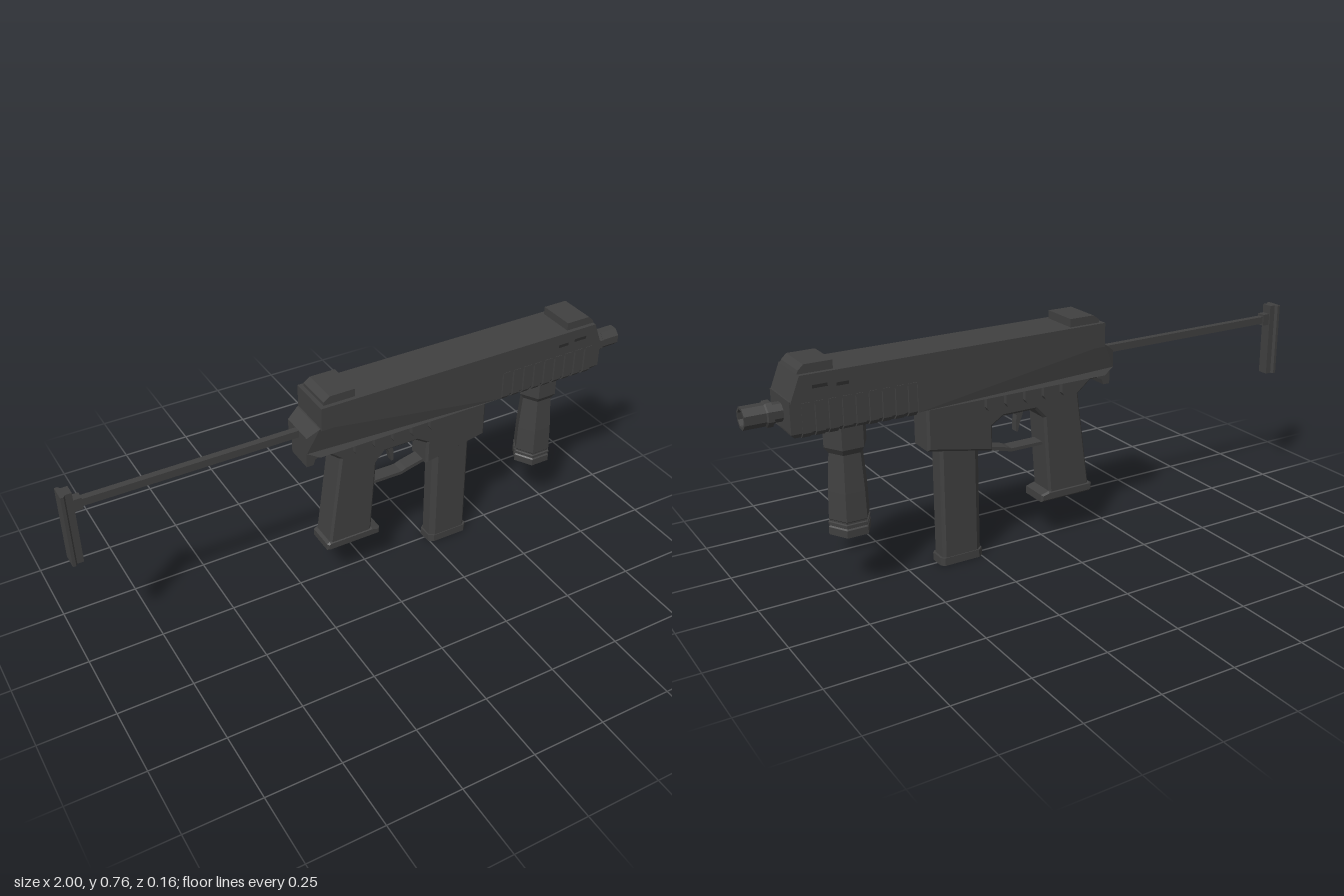
import * as THREE from 'three';

const metal = new THREE.MeshStandardMaterial({ color: 0x404040, flatShading: true });
metal.name = 'dark gunmetal';
const recess = new THREE.MeshStandardMaterial({ color: 0x2c2c2c, flatShading: true });
recess.name = 'slot shadow black';

function toShape(points) {
  return new THREE.Shape(points.map(([x, y]) => new THREE.Vector2(x, y)));
}

// Side profile in x/y, extruded symmetrically about z = 0, with optional chamfered edges
function slab(points, halfWidth, chamfer = 0) {
  const geo = new THREE.ExtrudeGeometry(toShape(points), {
    depth: 2 * (halfWidth - chamfer), steps: 1,
    bevelEnabled: chamfer > 0, bevelSegments: 1,
    bevelThickness: chamfer, bevelSize: chamfer, bevelOffset: -chamfer,
  });
  return geo.translate(0, 0, chamfer - halfWidth);
}

// Cross-section in z/y, extruded along x from x0 to x1
function beam(points, x0, x1) {
  const geo = new THREE.ExtrudeGeometry(toShape(points), { depth: x1 - x0, bevelEnabled: false });
  return geo.rotateY(Math.PI / 2).translate(x0, 0, 0);
}

function box(x0, x1, y0, y1, z0, z1) {
  return new THREE.BoxGeometry(x1 - x0, y1 - y0, z1 - z0)
    .translate((x0 + x1) / 2, (y0 + y1) / 2, (z0 + z1) / 2);
}

// Move the vertices that pass a test
function reshape(geo, rule) {
  const p = geo.attributes.position;
  const v = new THREE.Vector3();
  for (let i = 0; i < p.count; i++) {
    v.fromBufferAttribute(p, i);
    rule(v);
    p.setXYZ(i, v.x, v.y, v.z);
  }
  geo.computeVertexNormals();
  return geo;
}

function lathe(points, sides, phase) {
  return new THREE.LatheGeometry(points.map(([r, y]) => new THREE.Vector2(r, y)), sides, phase);
}

export function createModel() {
  const model = new THREE.Group();
  model.name = 'compactGun';
  const add = (name, geo, mat = metal) => {
    const mesh = new THREE.Mesh(geo, mat);
    mesh.name = name;
    model.add(mesh);
    return mesh;
  };

  // Upper cover with sloping nose
  add('upperCover', slab([[-0.195, 0.655], [0.88, 0.655], [0.848, 0.735], [-0.195, 0.735]], 0.079));

  // Main receiver, tapering at the tail
  add('receiver', reshape(
    slab([[-0.24, 0.575], [-0.2, 0.555], [0.48, 0.555], [0.48, 0.66], [-0.2, 0.66], [-0.24, 0.632]], 0.075),
    (v) => { if (v.x < -0.22) v.z *= 0.84; }));

  // Forend core with chamfered lower edges
  const forend = [[-0.07, 0.66], [-0.07, 0.56], [-0.058, 0.545], [0.058, 0.545], [0.07, 0.56], [0.07, 0.66]];
  add('forend', reshape(beam(forend, 0.465, 0.882), (v) => {
    if (v.y < 0.55) v.x += v.x > 0.7 ? -0.015 : 0.02;
  }));
  add('forendNose', box(0.845, 0.882, 0.565, 0.662, -0.076, 0.076));
  add('forendRail', box(0.465, 0.86, 0.645, 0.66, -0.075, 0.075));

  // Raised ribs wrapping the forend
  const rib = [[-0.077, 0.652], [-0.077, 0.56], [-0.064, 0.545], [0.064, 0.545], [0.077, 0.56], [0.077, 0.652]];
  for (let i = 0; i < 9; i++) {
    const x = 0.483 + i * 0.042;
    add('forendRib', beam(rib, x, x + 0.028));
  }

  // Sight blocks with a low base step
  const sights = [
    ['rearSight', [[-0.18, 0.735], [-0.07, 0.735], [-0.07, 0.762], [-0.158, 0.762], [-0.18, 0.746]]],
    ['frontSight', [[0.74, 0.735], [0.85, 0.735], [0.845, 0.746], [0.828, 0.762], [0.74, 0.762]]],
  ];
  for (const [name, profile] of sights) add(name, slab(profile, 0.065));

  // Lower frame: housing, grip and magazine well in one profile
  add('lowerFrame', slab([
    [-0.2, 0.57], [-0.2, 0.54], [-0.165, 0.54], [-0.115, 0.5], [-0.16, 0.165], [-0.002, 0.165],
    [0.018, 0.44], [0.05, 0.475], [0.17, 0.475], [0.21, 0.45], [0.21, 0.366], [0.44, 0.41], [0.44, 0.57],
  ], 0.05, 0.008));
  add('tailHook', slab([
    [-0.236, 0.58], [-0.236, 0.515], [-0.212, 0.515], [-0.205, 0.535], [-0.19, 0.54], [-0.19, 0.58],
  ], 0.05));

  // Grip foot
  add('gripFoot', slab([
    [-0.17, 0.148], [-0.16, 0.144], [0.03, 0.144], [0.03, 0.17], [0, 0.178], [-0.16, 0.178], [-0.17, 0.172],
  ], 0.053, 0.006));

  // Side tabs under the receiver, on both sides
  for (const side of [-1, 1]) {
    for (let i = 0; i < 5; i++) {
      const x = -0.055 + i * 0.07;
      const tab = slab([
        [x - 0.015, 0.57], [x - 0.015, 0.521], [x - 0.008, 0.51],
        [x + 0.008, 0.51], [x + 0.015, 0.521], [x + 0.015, 0.57],
      ], 0.01);
      add('sideTab', tab.translate(0, 0, side * 0.056));
    }
    // Narrow slots near the nose of the cover
    for (const [x0, x1, y] of [[0.7, 0.738, 0.692], [0.765, 0.812, 0.697]]) {
      add('coverSlot', box(x0, x1, y - 0.005, y + 0.005, side * 0.0785 - 0.002, side * 0.0785 + 0.002), recess);
    }
  }

  // Trigger and its guard
  add('trigger', slab([
    [0.072, 0.48], [0.078, 0.455], [0.088, 0.43], [0.096, 0.398],
    [0.104, 0.4], [0.103, 0.435], [0.1, 0.455], [0.108, 0.48],
  ], 0.012));
  add('triggerGuard', slab([
    [0.005, 0.339], [0.13, 0.339], [0.15, 0.345], [0.225, 0.364],
    [0.225, 0.376], [0.145, 0.357], [0.128, 0.35], [0.005, 0.35],
  ], 0.025));

  // Magazine with cut corners, and its floor plate
  const mag = [[0.25, 0.02], [0.268, 0.034], [0.38, 0.034], [0.39, 0.024]];
  const magOutline = [[0.25, -0.02], ...mag.slice(0, 1), ...mag.slice(1), [0.39, -0.024], [0.38, -0.034], [0.268, -0.034]];
  const magGeo = new THREE.ExtrudeGeometry(toShape(magOutline), { depth: 0.4, bevelEnabled: false });
  add('magazine', magGeo.rotateX(-Math.PI / 2).translate(0, 0.015, 0));
  const plateOutline = [
    [0.245, -0.024], [0.245, 0.024], [0.262, 0.037], [0.386, 0.037],
    [0.398, 0.026], [0.398, -0.026], [0.386, -0.037], [0.262, -0.037],
  ];
  const plateGeo = new THREE.ExtrudeGeometry(toShape(plateOutline), { depth: 0.027, bevelEnabled: false });
  add('magazinePlate', plateGeo.rotateX(-Math.PI / 2));

  // Six-sided fore grip with collar, waist and grooved foot
  add('foreGrip', lathe([
    [0, 0.198], [0.069, 0.198], [0.069, 0.222], [0.064, 0.226], [0.064, 0.231], [0.069, 0.233], [0.069, 0.239],
    [0.064, 0.241], [0.064, 0.246], [0.067, 0.249], [0.064, 0.34], [0.055, 0.46], [0.069, 0.48], [0.069, 0.55],
  ], 6, Math.PI / 2)).position.set(0.694, 0, -0.009);

  // Eight-sided hollow barrel
  const barrel = add('barrel', lathe([
    [0.03, 0.87], [0.03, 0.91], [0.04, 0.912], [0.04, 0.93], [0.035, 0.934],
    [0.035, 1], [0.027, 1], [0.027, 0.94], [0, 0.94],
  ], 8, Math.PI / 8));
  barrel.rotation.z = -Math.PI / 2;
  barrel.position.y = 0.613;

  // Wire stock: rod, joint and butt plate
  add('stockRod', box(-0.95, -0.22, 0.607, 0.632, -0.011, 0.011));
  add('stockJoint', box(-0.972, -0.937, 0.6, 0.64, -0.015, 0.015));
  const butt = [
    [-1, -0.028], [-1, 0.028], [-0.99, 0.028], [-0.984, 0.019],
    [-0.963, 0.019], [-0.963, -0.019], [-0.984, -0.019], [-0.99, -0.028],
  ];
  const buttGeo = new THREE.ExtrudeGeometry(toShape(butt), { depth: 0.255, bevelEnabled: false });
  add('buttPlate', buttGeo.rotateX(-Math.PI / 2).translate(0, 0.415, 0));

  return model;
}
